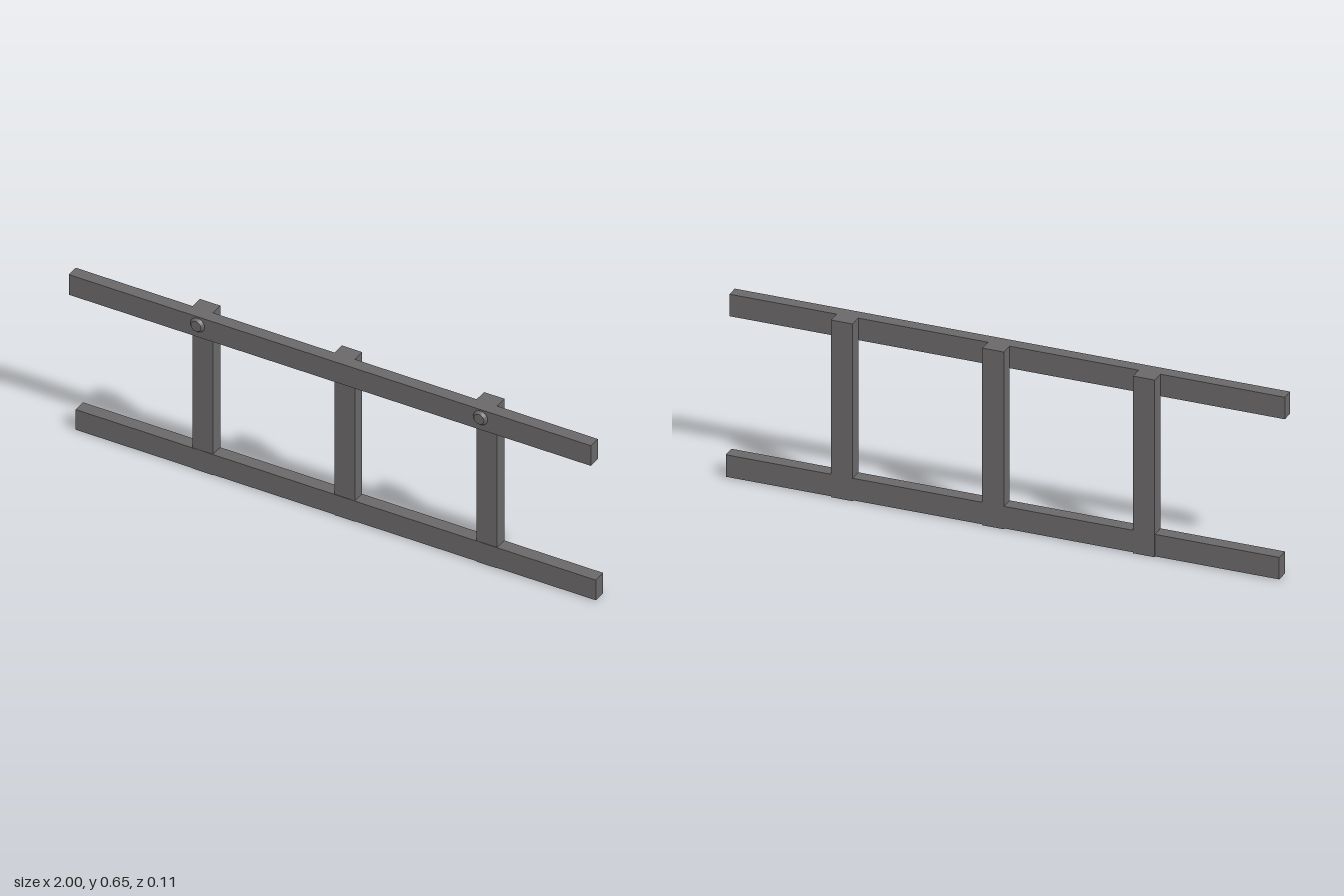
import * as THREE from 'three';

export function createModel() {
  const group = new THREE.Group();
  const metal = new THREE.MeshStandardMaterial({ color: 0x6a6868 });
  metal.name = 'dark grey';

  // Box given by its limits on each axis
  function bar(name, x0, x1, y0, y1, z0, z1) {
    const mesh = new THREE.Mesh(new THREE.BoxGeometry(x1 - x0, y1 - y0, z1 - z0), metal);
    mesh.position.set((x0 + x1) / 2, (y0 + y1) / 2, (z0 + z1) / 2);
    mesh.name = name;
    group.add(mesh);
  }

  // Rails: the upper one sits in front of the posts, the lower one in line with them
  bar('upperRail', -1, 1, 0.572, 0.653, -0.003, 0.043);
  bar('lowerRail', -1, 0.993, 0.003, 0.084, -0.0505, -0.0015);

  // Upright posts
  for (const x of [-0.513, 0.03, 0.575]) {
    bar('post', x - 0.039, x + 0.039, 0, 0.653, -0.0515, -0.003);
  }

  // Tapered bolt heads on the front of the upper rail
  const profile = [[0, 0], [0.0275, 0], [0.0275, 0.001], [0.0195, 0.0115], [0, 0.0115]]
    .map(([r, h]) => new THREE.Vector2(r, h));
  const boltGeometry = new THREE.LatheGeometry(profile, 24).toNonIndexed();
  boltGeometry.computeVertexNormals();
  for (const x of [-0.507, 0.577]) {
    const bolt = new THREE.Mesh(boltGeometry, metal);
    bolt.rotation.x = Math.PI / 2;
    bolt.position.set(x, 0.62, 0.0425);
    bolt.name = 'boltHead';
    group.add(bolt);
  }

  return group;
}
